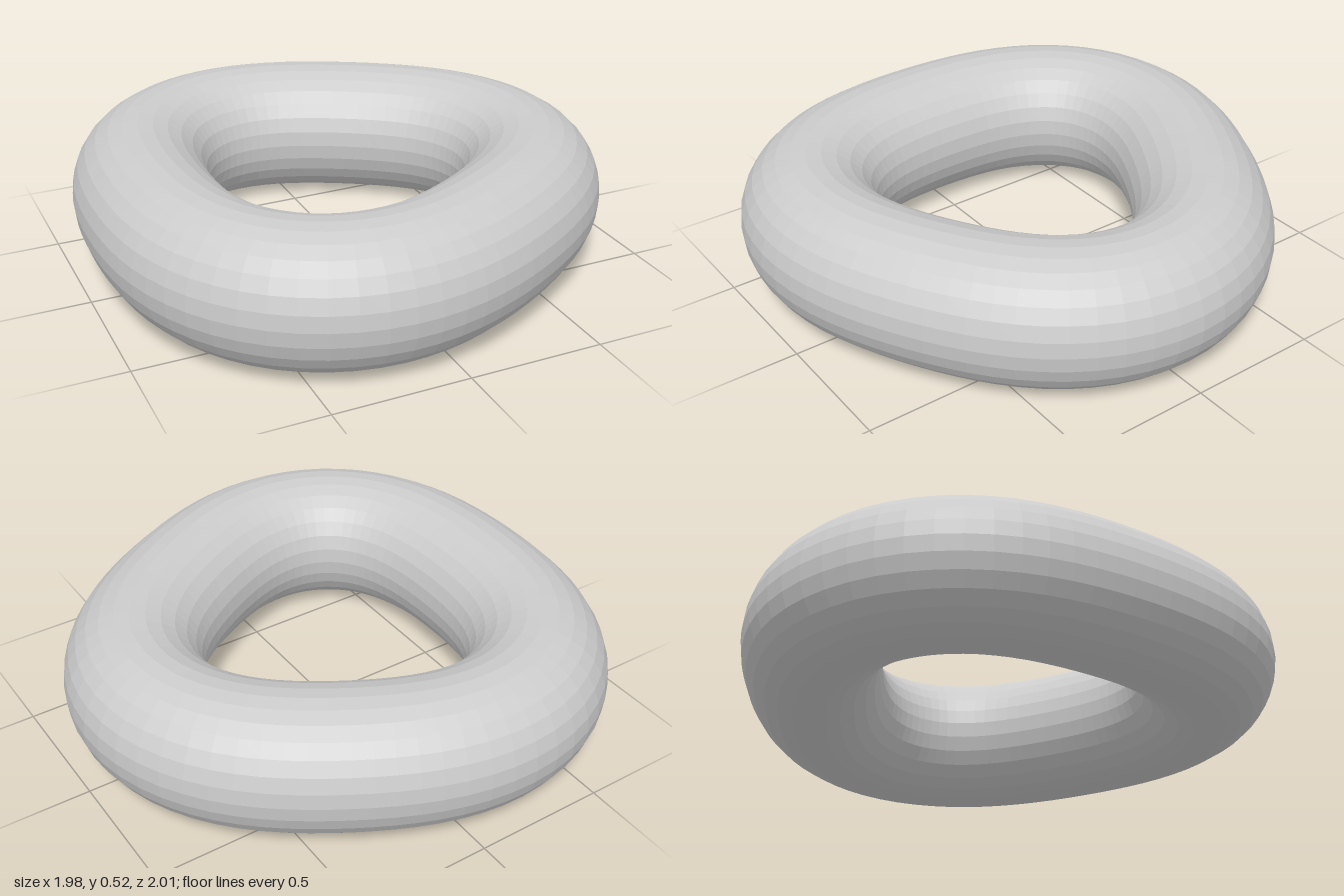
import * as THREE from 'three';

const TUBE_RADIUS = 0.258;

// Closed, flat centre line: a circle swelling into three soft corners, one pointing to +x
class ThreeLobedLoop extends THREE.Curve {
  getPoint(t, target = new THREE.Vector3()) {
    const angle = t * Math.PI * 2;
    const r = 0.734 + 0.05 * Math.cos(3 * angle);
    return target.set(r * Math.cos(angle) - 0.05, TUBE_RADIUS, r * Math.sin(angle));
  }
}

export function createModel() {
  const group = new THREE.Group();
  group.name = 'roundedTriangleRing';

  // Round tube swept along the loop
  const geometry = new THREE.TubeGeometry(new ThreeLobedLoop(), 72, TUBE_RADIUS, 28, true);
  const material = new THREE.MeshStandardMaterial({ color: 0xcccccc, flatShading: true });
  const ring = new THREE.Mesh(geometry, material);
  ring.name = 'ring';
  group.add(ring);

  return group;
}
